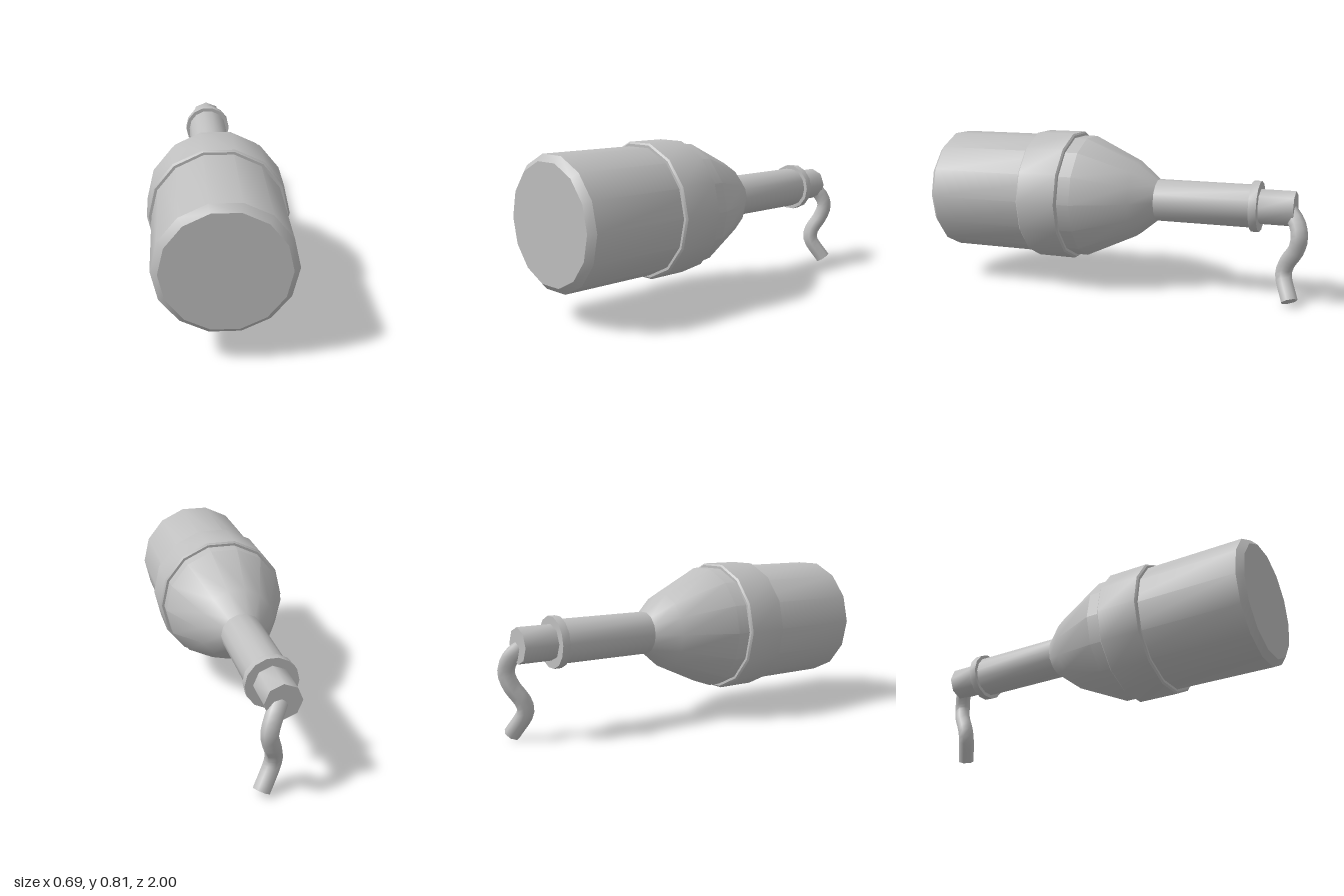
import * as THREE from 'three';
import { toCreasedNormals } from 'three/addons/utils/BufferGeometryUtils.js';

const AXIS_Y = 0.48;

export function createModel() {
  const model = new THREE.Group();
  const grey = new THREE.MeshStandardMaterial({ color: 0xbfbfbf });
  grey.name = 'plain grey';

  function add(name, geometry) {
    const mesh = new THREE.Mesh(geometry, grey);
    mesh.name = name;
    model.add(mesh);
    return mesh;
  }

  // Turned part lying along z; profile is [radius, z] from back to front
  function turned(name, profile, sides, crease = 0.6) {
    const points = profile.map(([r, z]) => new THREE.Vector2(r, z));
    const geometry = new THREE.LatheGeometry(points, sides, Math.PI / 2);
    geometry.rotateX(Math.PI / 2);
    add(name, toCreasedNormals(geometry, crease)).position.y = AXIS_Y;
  }

  // Bottle: shoulder, straight body and chamfered base
  turned('bottleBody', [
    [0.11, -0.21], [0.2, -0.1], [0.325, 0.17], [0.325, 0.97], [0.293, 1], [0, 1],
  ], 14);

  // Raised band around the body
  turned('bodyBand', [
    [0.32, 0.238], [0.338, 0.238], [0.347, 0.246],
    [0.347, 0.454], [0.338, 0.462], [0.32, 0.462],
  ], 14);

  // Neck, lip and plug
  turned('neck', [[0.11, -0.74], [0.11, -0.2]], 14);
  turned('lip', [[0, -0.75], [0.13, -0.75], [0.13, -0.71], [0.1, -0.71]], 14);
  turned('plug', [[0, -0.925], [0.09, -0.925], [0.09, -0.74]], 8, 0.9);

  // Wavy rag hanging out of the plug
  const path = new THREE.CatmullRomCurve3([
    [0.01, 0.47, -0.895], [0.05, 0.415, -0.942], [0.07, 0.35, -0.958],
    [0.055, 0.28, -0.94], [0.028, 0.2, -0.892], [0.03, 0.145, -0.88], [0.095, 0.027, -0.925],
  ].map((p) => new THREE.Vector3(...p)));
  const sides = 7;
  const steps = 18;
  const ragGeometry = new THREE.TubeGeometry(path, steps, 0.043, sides);
  add('rag', ragGeometry);

  // Flat end of the rag, a fan over its last ring
  const ring = [];
  for (let i = 0; i <= sides; i++) {
    ring.push(new THREE.Vector3().fromBufferAttribute(
      ragGeometry.attributes.position, steps * (sides + 1) + i));
  }
  const fan = [];
  for (let i = 0; i < sides; i++) fan.push(path.getPointAt(1), ring[i + 1], ring[i]);
  const endGeometry = new THREE.BufferGeometry().setFromPoints(fan);
  endGeometry.computeVertexNormals();
  add('ragEnd', endGeometry);

  return model;
}
